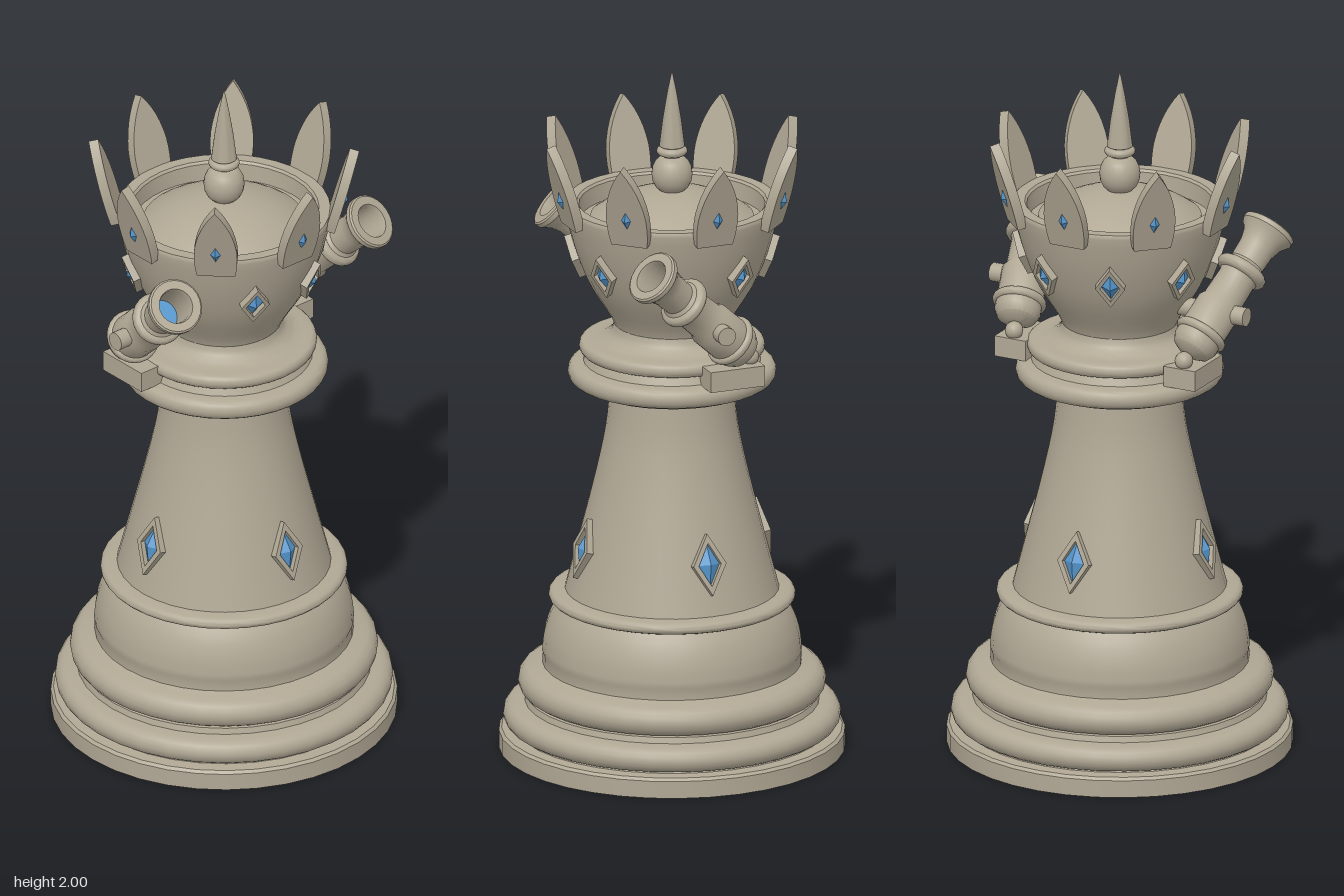
import * as THREE from 'three';
import { toCreasedNormals } from 'three/addons/utils/BufferGeometryUtils.js';

const stone = new THREE.MeshStandardMaterial({ name: 'warm stone', color: 0xb0a794 });
const blue = new THREE.MeshStandardMaterial({ name: 'blue crystal', color: 0x5596cc });

function mesh(name, geometry, material = stone) {
  const m = new THREE.Mesh(geometry, material);
  m.name = name;
  return m;
}

// Turned part from [radius, height] pairs, bottom to top
function turned(name, pairs, segments = 36) {
  const pts = pairs.map(([r, y]) => new THREE.Vector2(r, y));
  return mesh(name, toCreasedNormals(new THREE.LatheGeometry(pts, segments), 0.6));
}

// Rounded bead bulging outward from radius r, between y0 and y1
function bead(r, y0, y1, bulge) {
  const out = [];
  for (let i = 0; i <= 8; i++) {
    const a = -Math.PI / 2 + (Math.PI * i) / 8;
    out.push([r + Math.cos(a) * bulge, (y0 + y1) / 2 + (Math.sin(a) * (y1 - y0)) / 2]);
  }
  return out;
}

function smoothProfile(pairs, n) {
  const curve = new THREE.SplineCurve(pairs.map(([r, y]) => new THREE.Vector2(r, y)));
  return curve.getPoints(n).map((p) => [p.x, p.y]);
}

function diamond(w, h, Type = THREE.Shape) {
  const s = new Type();
  s.moveTo(0, -h);
  s.lineTo(w, 0);
  s.lineTo(0, h);
  s.lineTo(-w, 0);
  s.closePath();
  return s;
}

// Faceted gem, optionally in a diamond frame, facing +z
function jewel(w, h, framed) {
  const g = new THREE.Group();
  g.name = 'jewel';
  let gw = w, gh = h;
  if (framed) {
    gw = w * 0.68;
    gh = h * 0.7;
    const s = diamond(w, h);
    s.holes.push(diamond(gw, gh, THREE.Path));
    const frame = mesh('jewelFrame', new THREE.ExtrudeGeometry(s, { depth: 0.04, bevelEnabled: false }));
    frame.position.z = -0.025;
    g.add(frame);
  }
  const gemGeo = new THREE.OctahedronGeometry(1, 0);
  gemGeo.scale(gw, gh, framed ? 0.022 : 0.012);
  g.add(mesh('gem', gemGeo, blue));
  return g;
}

// Places an object around the axis, leaning by tilt (positive leans the top outward)
function around(parent, object, angle, radius, y, tilt) {
  const pivot = new THREE.Group();
  pivot.name = object.name + 'Mount';
  pivot.rotation.y = angle;
  object.position.set(0, y, radius);
  object.rotation.x = tilt;
  pivot.add(object);
  parent.add(pivot);
}

function crownLeaf() {
  const s = new THREE.Shape();
  s.moveTo(-0.054, 0);
  s.lineTo(0.054, 0);
  s.quadraticCurveTo(0.064, 0.05, 0.06, 0.1);
  s.quadraticCurveTo(0.05, 0.185, 0, 0.25);
  s.quadraticCurveTo(-0.05, 0.185, -0.06, 0.1);
  s.quadraticCurveTo(-0.064, 0.05, -0.054, 0);
  const geo = new THREE.ExtrudeGeometry(s, { depth: 0.028, bevelEnabled: false, curveSegments: 6 });
  geo.translate(0, 0, -0.014);
  const g = new THREE.Group();
  g.name = 'crownLeaf';
  const gem = jewel(0.014, 0.027, false);
  gem.position.set(0, 0.085, 0.014);
  g.add(mesh('leafBlade', toCreasedNormals(geo, 0.5)), gem);
  return g;
}

function cannon(side) {
  const g = new THREE.Group();
  g.name = side > 0 ? 'leftCannon' : 'rightCannon';
  const breech = new THREE.Vector3(0.275 * side, 1.23, -0.11);
  const muzzle = new THREE.Vector3(0.365 * side, 1.525, 0.215);
  const axis = muzzle.clone().sub(breech);
  const L = axis.length();

  // Barrel with open bore, knob and blue core
  const barrel = new THREE.Group();
  barrel.name = 'barrel';
  barrel.position.copy(breech);
  barrel.quaternion.setFromUnitVectors(new THREE.Vector3(0, 1, 0), axis.normalize());
  barrel.add(turned('barrelTube', [
    [0, 0], [0.03, 0.004], [0.055, 0.018], [0.066, 0.04],
    ...bead(0.066, 0.06, 0.085, 0.011),
    [0.066, 0.17], [0.057, 0.185], [0.055, 0.265],
    ...bead(0.058, 0.275, 0.31, 0.018),
    [0.05, 0.32], [0.052, L - 0.075], [0.06, L - 0.045], [0.074, L - 0.025],
    [0.079, L - 0.018], [0.079, L - 0.004], [0.074, L], [0.05, L], [0.046, L - 0.015], [0.046, L - 0.13],
  ], 24));
  const core = mesh('boreCore', new THREE.CircleGeometry(0.046, 24), blue);
  core.rotation.x = -Math.PI / 2;
  core.position.y = L - 0.125;
  const knob = mesh('breechKnob', new THREE.SphereGeometry(0.026, 16, 12));
  knob.position.y = -0.02;
  barrel.add(core, knob);

  // Cross pin and carriage block
  const pin = mesh('trunnion', new THREE.CylinderGeometry(0.027, 0.027, 0.21, 16));
  pin.rotation.z = Math.PI / 2;
  pin.position.set(0.3 * side, 1.33, 0);
  const block = mesh('cannonBlock', new THREE.BoxGeometry(0.1, 0.06, 0.165));
  block.position.set(0.27 * side, 1.17, -0.068);
  g.add(barrel, pin, block);
  return g;
}

export function createModel() {
  const model = new THREE.Group();
  model.name = 'chessQueen';

  // Stepped foot
  model.add(turned('base', [
    [0, 0], [0.488, 0], [0.488, 0.05], [0.48, 0.058], [0.445, 0.06],
    ...bead(0.44, 0.064, 0.136, 0.036), [0.415, 0.138], [0.41, 0.155],
    ...bead(0.39, 0.156, 0.242, 0.044), [0.365, 0.25], [0.364, 0.28],
    ...smoothProfile([[0.366, 0.285], [0.36, 0.34], [0.342, 0.395], [0.32, 0.432]], 8),
    ...bead(0.326, 0.434, 0.468, 0.022), [0.3, 0.47],
  ]));

  // Tapering body
  model.add(turned('body', smoothProfile(
    [[0.302, 0.468], [0.268, 0.6], [0.218, 0.8], [0.187, 0.95], [0.174, 1.08]], 16)));

  // Double collar and neck
  model.add(turned('collar', [
    [0.17, 1.055], [0.2, 1.06], [0.25, 1.075], ...bead(0.272, 1.085, 1.14, 0.022), [0.25, 1.143],
    [0.24, 1.165], ...bead(0.248, 1.168, 1.206, 0.014), [0.225, 1.208],
    ...smoothProfile([[0.2, 1.21], [0.172, 1.23], [0.162, 1.26]], 6),
  ]));

  // Bowl of the crown, with rim and inner wall
  model.add(turned('crownBowl', [
    ...smoothProfile([[0.162, 1.25], [0.178, 1.285], [0.236, 1.38], [0.275, 1.48], [0.298, 1.57], [0.303, 1.605]], 16),
    [0.3, 1.612], [0.268, 1.612], [0.262, 1.605], [0.258, 1.555], [0.225, 1.555],
  ]));

  // Dome and finial
  const dome = [];
  for (let i = 0; i <= 10; i++) {
    const r = 0.23 * (1 - i / 10);
    dome.push([r, 1.647 - 0.383 + Math.sqrt(0.383 ** 2 - r * r)]);
  }
  model.add(turned('dome', [[0.23, 1.55], ...dome]));
  model.add(turned('finial', [
    [0.03, 1.635], ...bead(0.02, 1.64, 1.745, 0.038), [0.028, 1.745],
    ...bead(0.03, 1.748, 1.772, 0.014), [0.036, 1.775], [0.027, 1.85], [0.014, 1.93], [0, 2],
  ], 24));

  // Crown leaves and bowl jewels
  for (let i = 0; i < 8; i++) {
    const a = (i * Math.PI) / 4;
    around(model, crownLeaf(), a, 0.302, 1.575, 0.27);
    around(model, jewel(0.042, 0.066, true), a + Math.PI / 8, 0.268, 1.45, 0.34);
  }

  // Body jewels
  for (let i = 0; i < 4; i++) {
    around(model, jewel(0.05, 0.088, true), (i * Math.PI) / 2, 0.266, 0.613, -0.25);
  }

  model.add(cannon(1), cannon(-1));
  return model;
}
